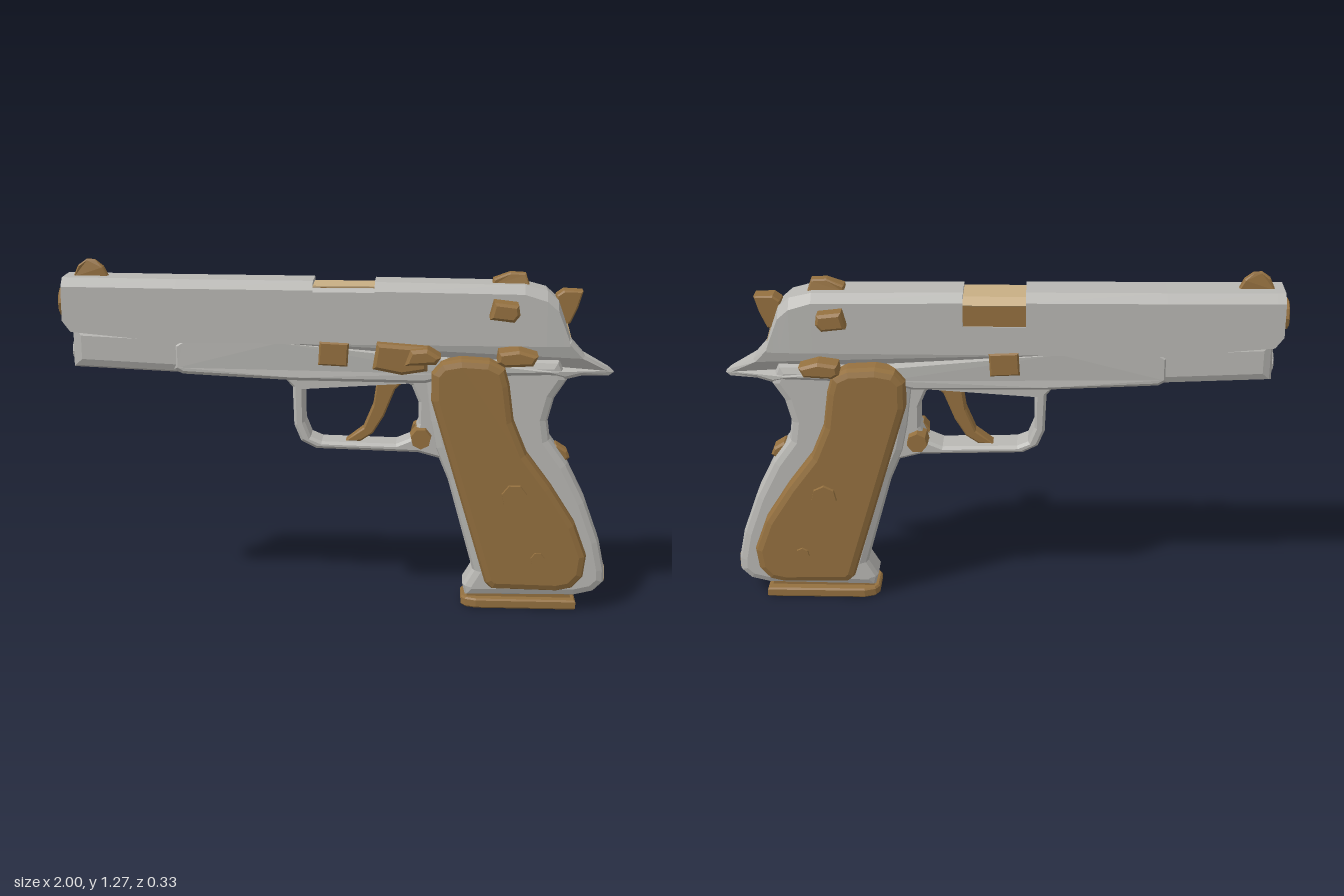
import * as THREE from 'three';

const mat = (name, color) => Object.assign(new THREE.MeshStandardMaterial({ color }), { name });

export function createModel() {
  const grey = mat('steel grey', 0xb8b7b3);
  const brown = mat('bronze brown', 0x94703f);
  const tan = mat('pale tan', 0xc8ae84);
  const model = new THREE.Group();
  const body = new THREE.Group();
  body.name = 'body';
  body.position.z = -0.016;
  model.add(body);

  const add = (name, geometry, material) => {
    const g = geometry.index ? geometry.toNonIndexed() : geometry;
    g.computeVertexNormals();
    const mesh = new THREE.Mesh(g, material);
    mesh.name = name;
    body.add(mesh);
    return mesh;
  };

  // Outline extruded by depth with chamfered edges inside the outline
  const extrude = (pts, depth, bevel, hole) => {
    const shape = new THREE.Shape(pts.map(p => new THREE.Vector2(...p)));
    if (hole) shape.holes.push(new THREE.Path(hole.map(p => new THREE.Vector2(...p))));
    return new THREE.ExtrudeGeometry(shape, {
      depth: depth - 2 * bevel, bevelEnabled: bevel > 0, bevelSize: bevel,
      bevelThickness: bevel, bevelOffset: -bevel, bevelSegments: bevel > 0.025 ? 2 : 1,
    }).translate(0, 0, bevel);
  };

  // Side profile from z0 to z1; rule scales z by position
  const slab = (name, pts, z0, z1, bevel, material, hole, rule) => {
    const g = extrude(pts, z1 - z0, bevel, hole).translate(0, 0, z0);
    if (rule) {
      const p = g.attributes.position;
      for (let i = 0; i < p.count; i++) p.setZ(i, p.getZ(i) * rule(p.getX(i), p.getY(i)));
    }
    return add(name, g, material);
  };

  // Loft along x through sections [x, [[y, z], ...]], capped at both ends
  const loft = (name, sections, material) => {
    const n = sections[0][1].length, last = (sections.length - 1) * n, pos = [], idx = [];
    for (const [x, pts] of sections) for (const [y, z] of pts) pos.push(x, y, z);
    for (let s = 0; s < sections.length - 1; s++) {
      for (let i = 0; i < n; i++) {
        const a = s * n + i, b = s * n + (i + 1) % n;
        idx.push(a, b, a + n, b, b + n, a + n);
      }
    }
    const cap = k => THREE.ShapeUtils.triangulateShape(sections[k][1].map(p => new THREE.Vector2(...p)), []);
    for (const [a, b, c] of cap(0)) idx.push(a, c, b);
    for (const [a, b, c] of cap(sections.length - 1)) idx.push(last + a, last + b, last + c);
    const g = new THREE.BufferGeometry();
    g.setAttribute('position', new THREE.Float32BufferAttribute(pos, 3));
    g.setIndex(idx);
    return add(name, g, material);
  };
  // Chamfered slide section, counter-clockwise seen from +x
  const section = (yb, yt, w = 0.09, c = 0.03) =>
    [[yb, w], [yb, -w], [yt - c, -w], [yt, -w + c], [yt, w - c], [yt - c, w]];

  // Slide, split around the opening on top and on the right
  loft('slideFront', [
    [-0.98, section(1.06, 1.213)], [-0.95, section(1.02, 1.213)],
    [-0.57, section(0.985, 1.21)], [-0.08, section(0.985, 1.208)],
  ], grey);
  const wall = [[0.985, 0.09], [0.985, -0.09], [1.09, -0.09], [1.09, 0.066], [1.185, 0.066], [1.185, 0.077], [1.172, 0.09]];
  loft('slideMiddle', [[-0.08, wall], [0.14, wall]], grey);
  loft('slideRear', [
    [0.14, section(0.985, 1.206)], [0.67, section(0.985, 1.2)],
    [0.75, section(0.985, 1.18, 0.089, 0.035)], [0.79, section(0.985, 1.145, 0.087, 0.035)],
    [0.81, section(0.985, 1.09, 0.086, 0.03)], [0.833, section(0.985, 1.02, 0.085, 0.02)],
  ], grey);
  const hood = [[1.08, 0.068], [1.08, -0.085], [1.165, -0.085], [1.187, -0.06], [1.187, 0.068]];
  loft('chamberHood', [[-0.08, hood], [0.14, hood]], brown);
  const plate = [[1.187, 0.068], [1.187, -0.06], [1.165, -0.085], [1.168, -0.088], [1.192, -0.061], [1.192, 0.068]];
  loft('chamberTop', [[-0.08, plate], [0.14, plate]], tan);

  // Lower frame
  slab('dustCover', [[-0.95, 0.885], [-0.5, 0.865], [-0.5, 1.02], [-0.95, 1.04]], -0.075, 0.075, 0.035, grey);
  slab('receiver', [
    [-0.58, 0.885], [-0.55, 0.868], [-0.15, 0.85], [0.32, 0.845], [0.42, 0.87], [0.76, 0.88], [0.82, 0.862],
    [0.88, 0.873], [0.98, 0.87], [0.998, 0.882], [0.98, 0.897], [0.89, 0.945], [0.84, 1], [-0.2, 1], [-0.55, 0.995], [-0.58, 0.975],
  ], -0.087, 0.087, 0.012, grey, null, x => (x > 0.76 ? Math.max(0.2, 1 - (x - 0.76) * 3.4) : x < -0.5 ? 0.92 : 1));
  slab('triggerGuard', [
    [-0.19, 0.86], [-0.155, 0.82], [-0.15, 0.68], [-0.125, 0.62], [-0.07, 0.592], [0.3, 0.582], [0.42, 0.55], [0.45, 0.86],
  ], -0.058, 0.058, 0.01, grey, [
    [-0.085, 0.845], [-0.112, 0.81], [-0.112, 0.69], [-0.09, 0.635], [-0.05, 0.618], [0.22, 0.612],
    [0.275, 0.635], [0.3, 0.69], [0.3, 0.77], [0.275, 0.83], [0.25, 0.845],
  ]);
  slab('gripFrame', [
    [0.32, 0.86], [0.34, 0.7], [0.36, 0.6], [0.41, 0.48], [0.505, 0.14], [0.47, 0.08], [0.48, 0.04], [0.88, 0.045], [0.95, 0.062],
    [0.988, 0.1], [0.988, 0.15], [0.965, 0.26], [0.91, 0.41], [0.84, 0.55], [0.775, 0.64], [0.765, 0.71],
    [0.785, 0.79], [0.83, 0.86], [0.8, 0.93], [0.4, 0.93],
  ], -0.075, 0.075, 0.03, grey);
  slab('gripHeelPatch', [[0.97, 0.082], [0.991, 0.1], [0.991, 0.15], [0.982, 0.155], [0.98, 0.1]], -0.035, 0.035, 0, tan);
  slab('slideRearPatch', [[0.815, 1.065], [0.83, 1.01], [0.84, 1.01], [0.824, 1.065]], -0.035, 0.035, 0, tan);

  // Magazine base with rounded front corners
  const base = [[0.465, -0.05], [0.48, -0.075], [0.52, -0.09], [0.885, -0.09], [0.885, 0.09], [0.52, 0.09], [0.48, 0.075], [0.465, 0.05]];
  add('magazineBase', extrude(base, 0.036, 0.006).rotateX(-Math.PI / 2), brown);
  slab('magazineCollar', [[0.485, 0.03], [0.87, 0.03], [0.865, 0.052], [0.49, 0.048]], -0.055, 0.055, 0, brown);

  // Trigger, hammer and sights
  slab('trigger', [
    [0.15, 0.87], [0.28, 0.87], [0.215, 0.81], [0.175, 0.71], [0.135, 0.645], [0.09, 0.615],
    [0.035, 0.615], [0.1, 0.665], [0.135, 0.75], [0.145, 0.82],
  ], -0.03, 0.03, 0.006, brown);
  slab('hammer', [[0.77, 1.1], [0.81, 1.05], [0.835, 1.06], [0.86, 1.115], [0.878, 1.175], [0.81, 1.178], [0.785, 1.16]], -0.036, 0.036, 0.006, brown);
  slab('rearSight', [[0.555, 1.19], [0.69, 1.19], [0.675, 1.235], [0.62, 1.238], [0.56, 1.215]],
    -0.03, 0.03, 0.006, brown, null, (x, y) => (y > 1.22 ? 0.7 : 1));
  slab('frontSight', [[-0.95, 1.205], [-0.82, 1.205], [-0.84, 1.245], [-0.87, 1.27], [-0.9, 1.272], [-0.93, 1.25]],
    -0.014, 0.014, 0.005, brown, null, (x, y) => (y > 1.25 ? 0.45 : 1));

  // Ring with a blind bore, facing -x
  const ring = (name, x, y, r, bore, len, material) => {
    const pts = [[r, -len], [r, len * 0.85], [r * 0.9, len], [bore, len], [bore, 0.3 * len], [0, 0.3 * len]];
    const g = new THREE.LatheGeometry(pts.map(p => new THREE.Vector2(...p)), 10);
    add(name, g.rotateZ(Math.PI / 2).translate(x, y, 0), material);
  };
  ring('muzzle', -0.975, 1.118, 0.055, 0.025, 0.025, brown);
  ring('guideRod', -0.945, 0.94, 0.036, 0.018, 0.012, grey);

  // Parts found on both sides
  for (const s of [1, -1]) {
    const side = s > 0 ? 'left' : 'right';
    const span = (a, b) => (s > 0 ? [a, b] : [-b, -a]);
    slab(side + 'GripPanel', [
      [0.345, 0.79], [0.345, 0.89], [0.38, 0.93], [0.45, 0.943], [0.55, 0.937], [0.605, 0.91], [0.622, 0.85], [0.64, 0.72],
      [0.69, 0.6], [0.78, 0.48], [0.87, 0.34], [0.915, 0.22], [0.905, 0.14], [0.865, 0.095], [0.81, 0.083], [0.575, 0.087], [0.55, 0.11],
    ], ...span(0.03, 0.137), 0.027, brown);
    for (const [name, x, y, r, z] of [['UpperScrew', 0.648, 0.445, 0.052, 0.15], ['LowerScrew', 0.738, 0.21, 0.029, 0.146], ['ReleaseButton', 0.31, 0.64, 0.042, 0.09]]) {
      const g = new THREE.CylinderGeometry(r * 0.88, r, 0.07, 7);
      // Point the narrow end outward
      g.rotateX(s * Math.PI / 2).translate(x, y, s * (z - 0.035));
      add(side + name, g, brown);
    }
    slab(side + 'TakedownPlate', [[-0.06, 0.91], [0.045, 0.905], [0.05, 0.99], [-0.055, 0.995]], ...span(0.05, 0.096), 0.006, brown);
    const reach = s > 0 ? 0.18 : 0.148;
    slab(side + 'SlideLever', [[0.545, 1.095], [0.63, 1.085], [0.65, 1.11], [0.645, 1.145], [0.56, 1.155]], ...span(0.06, reach), 0.01, brown);
    const safety = slab(side + 'SafetyLever', [[0.575, 0.94], [0.6, 0.925], [0.7, 0.93], [0.718, 0.965], [0.65, 0.985], [0.58, 0.975]], ...span(0.06, reach - 0.005), 0.01, brown);
    if (s < 0) safety.position.y = -0.018;
  }

  // Slide stop on the left, and the stud on the back of the grip
  slab('slideStop', [[0.135, 0.905], [0.24, 0.885], [0.33, 0.9], [0.33, 0.985], [0.15, 0.998]], 0.06, 0.138, 0.012, brown);
  slab('slideStopTab', [[0.25, 0.925], [0.36, 0.93], [0.378, 0.955], [0.33, 0.985], [0.27, 0.98]], 0.06, 0.17, 0.012, brown);
  slab('gripStud', [[0.78, 0.6], [0.82, 0.54], [0.85, 0.565], [0.84, 0.59], [0.8, 0.615]], -0.036, 0.036, 0.008, brown);

  return model;
}
